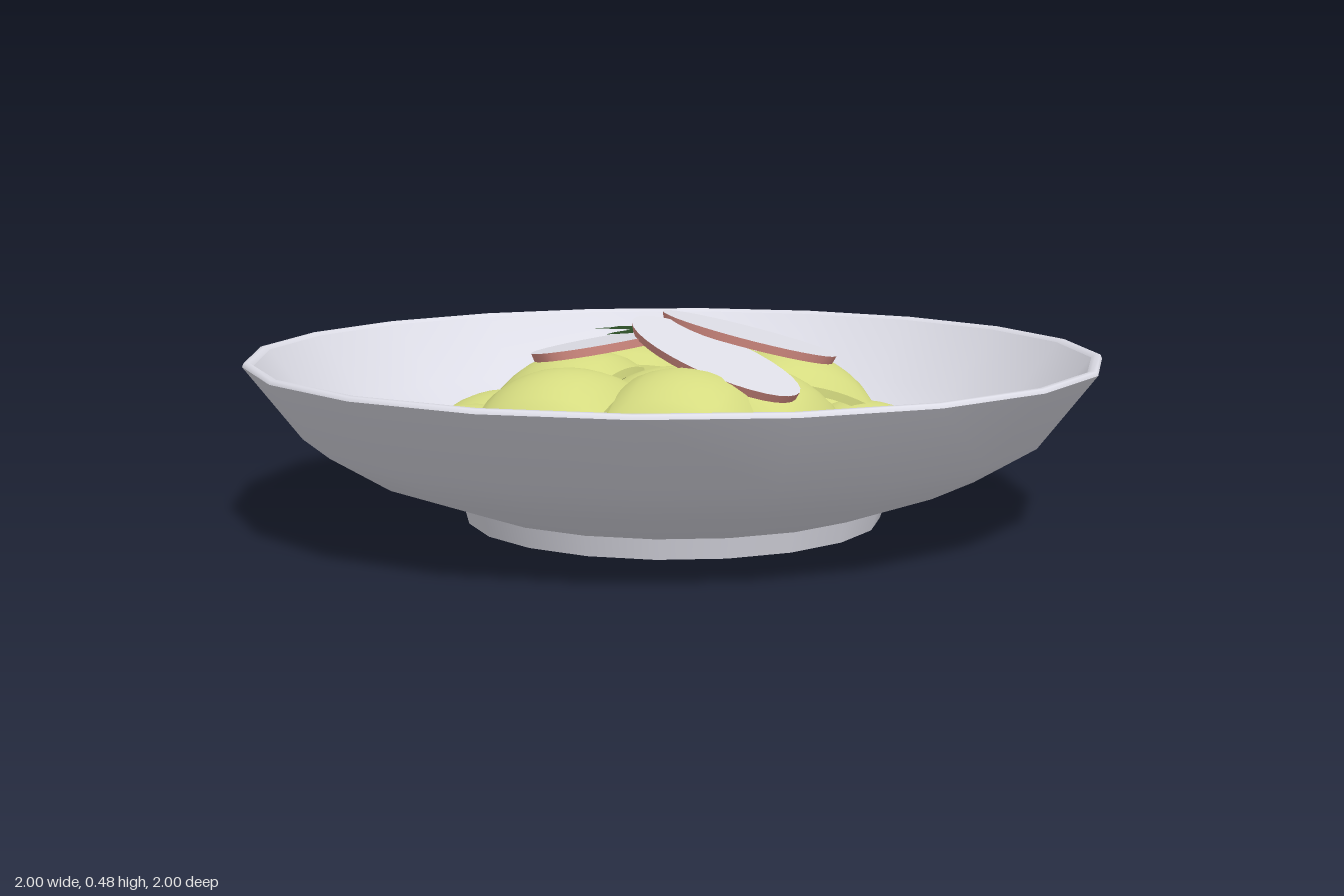
import * as THREE from 'three';

const flat = (name, color, side = THREE.FrontSide) => {
  const m = new THREE.MeshStandardMaterial({ color, side });
  m.name = name;
  return m;
};

// Set a part down at a point, turned about its own axis and tilted to a slope
function place(obj, x, y, z, yaw, slopeX, slopeZ) {
  const up = new THREE.Vector3(0, 1, 0);
  const normal = new THREE.Vector3(-slopeX, 1, -slopeZ).normalize();
  obj.position.set(x, y, z);
  obj.quaternion.setFromUnitVectors(up, normal)
    .multiply(new THREE.Quaternion().setFromAxisAngle(up, yaw));
  return obj;
}

// Filled pasta pillow: bowed sides, thin drooping corners, raised middle
function pillowGeometry(size, dome) {
  const geo = new THREE.BoxGeometry(2, 1, 2, 10, 1, 10);
  const p = geo.attributes.position;
  for (let i = 0; i < p.count; i++) {
    const u = p.getX(i), v = p.getZ(i), top = p.getY(i) > 0;
    const mound = Math.pow((1 - u * u) * (1 - v * v), 0.7);
    const droop = -0.018 * (u * u + v * v) / 2 - 0.012 * u * u * v * v;
    const y = droop + (top ? 0.02 + dome * mound : 0);
    p.setXYZ(i, u * size * (1 - 0.09 * v * v), y, v * size * (1 - 0.09 * u * u));
  }
  geo.computeVertexNormals();
  return geo;
}

export function createModel() {
  const model = new THREE.Group();
  model.name = 'pastaBowl';
  const china = flat('china', 0xe4e4ee);
  const pasta = flat('pasta', 0xd5db80);
  const radishFlesh = flat('radishFlesh', 0xdcdce4);
  const radishSkin = flat('radishSkin', 0xe0948a);
  const herb = flat('herb', 0x2c4d26, THREE.DoubleSide);

  const add = (name, geo, mat, parent = model) => {
    const mesh = new THREE.Mesh(geo, mat);
    mesh.name = name;
    parent.add(mesh);
    return mesh;
  };

  // Bowl: separate turned bands keep the foot and rim edges crisp
  const bowl = new THREE.Group();
  bowl.name = 'bowl';
  model.add(bowl);
  const bands = {
    footBase: [[0, 0], [0.492, 0]],
    footRing: [[0.492, 0], [0.505, 0.048]],
    bowlOutside: [[0.505, 0.048], [0.73, 0.13], [0.87, 0.215], [1, 0.385]],
    bowlRim: [[1, 0.385], [0.996, 0.394], [0.985, 0.395], [0.975, 0.387]],
    bowlInside: [[0.975, 0.387], [0.85, 0.235], [0.71, 0.152], [0.5, 0.085], [0, 0.065]],
  };
  for (const [name, pts] of Object.entries(bands)) {
    add(name, new THREE.LatheGeometry(pts.map(([x, y]) => new THREE.Vector2(x, y)), 20), china, bowl);
  }

  // Pasta: two overlapping tiers as [x, z, facing in degrees from +z]
  const pillow = pillowGeometry(0.168, 0.065);
  const tiers = [
    {
      name: 'lowerPasta', y: 0.18, slope: 0.2, pieces: [
        [-0.12, -0.5, 184], [0.19, -0.51, 154], [-0.39, -0.35, 237], [-0.5, -0.05, 267],
        [-0.45, 0.25, 297], [-0.26, 0.41, 325], [0, 0.5, 0], [0.31, 0.38, 37],
        [0.45, 0.08, 86], [0.43, -0.22, 112],
      ],
    },
    {
      name: 'upperPasta', y: 0.285, slope: 0.26, pieces: [
        [-0.01, -0.35, 176], [-0.25, -0.24, 197], [-0.28, 0, 270], [-0.18, 0.3, 2],
        [0.12, 0.23, 5], [0.23, -0.23, 131], [0.24, 0.06, 85],
      ],
    },
  ];
  for (const { name, y, slope, pieces } of tiers) {
    pieces.forEach(([x, z, facing], i) => {
      const r = Math.hypot(x, z);
      place(add(name + (i + 1), pillow, pasta), x, y + 0.004 * (i % 3), z,
        THREE.MathUtils.degToRad(facing), -slope * x / r, -slope * z / r);
    });
  }
  add('middlePasta', pillow, pasta).position.set(0, 0.27, 0);

  // Radish slices: thin ovals, skin around the edge and flesh on both faces
  const radishes = [
    { x: -0.16, y: 0.405, z: 0.02, long: 0.27, wide: 0.115, yaw: 80, sx: 0.13, sz: 0 },
    { x: 0.145, y: 0.42, z: -0.115, long: 0.22, wide: 0.115, yaw: 4, sx: -0.22, sz: 0.05 },
    { x: 0.13, y: 0.39, z: 0.075, long: 0.25, wide: 0.1, yaw: -20, sx: -0.24, sz: -0.22 },
  ];
  radishes.forEach((s, i) => {
    const geo = new THREE.CylinderGeometry(1, 0.97, 0.02, 32).scale(s.long, 1, s.wide);
    const slice = add('radishSlice' + (i + 1), geo, [radishSkin, radishFlesh, radishFlesh]);
    place(slice, s.x, s.y, s.z, THREE.MathUtils.degToRad(s.yaw), s.sx, s.sz);
  });

  // Herb sprig: jagged flat leaf, outlined in x and z
  const outline = [
    [-0.23, -0.045], [-0.2, -0.085], [-0.195, -0.115], [-0.165, -0.13], [-0.15, -0.155],
    [-0.11, -0.15], [-0.07, -0.16], [-0.07, -0.12], [-0.055, -0.09], [-0.07, -0.05],
    [-0.095, -0.02], [-0.11, 0.02], [-0.148, 0.06], [-0.15, 0.01], [-0.135, -0.06], [-0.18, -0.055],
  ];
  const leaf = new THREE.Shape(outline.map(([x, z]) => new THREE.Vector2(x, -z)));
  add('herbLeaf', new THREE.ShapeGeometry(leaf).rotateX(-Math.PI / 2), herb).position.y = 0.432;

  return model;
}
